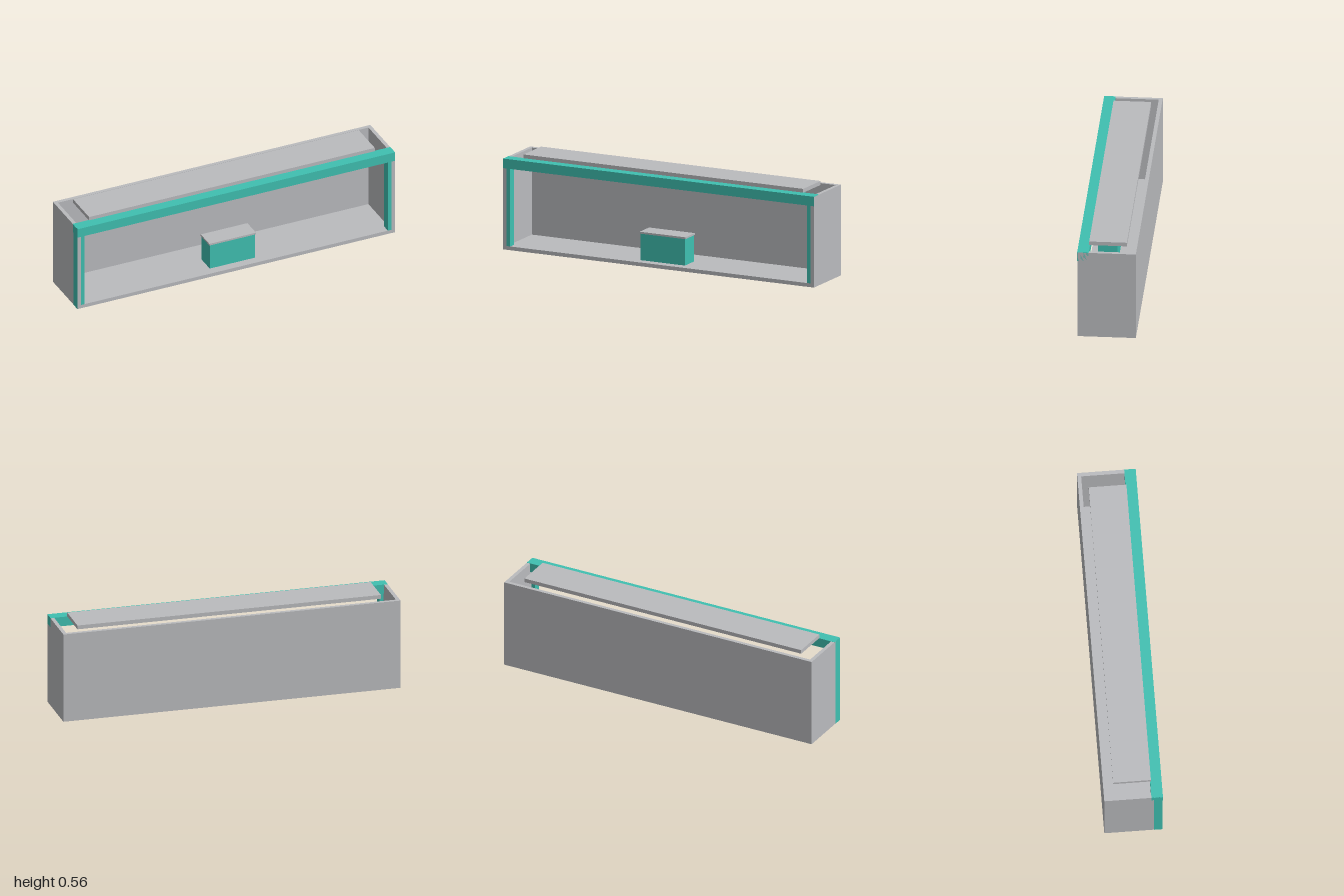
import * as THREE from 'three';

export function createModel() {
  const model = new THREE.Group();
  model.name = 'openCounter';

  const grey = new THREE.MeshStandardMaterial({ color: 0xbabbbe });
  grey.name = 'grey panel';
  const teal = new THREE.MeshStandardMaterial({ color: 0x3fc0b1 });
  teal.name = 'teal trim';

  // Adds a box spanning the given ranges on each axis
  const addBox = (name, material, [x0, x1], [y0, y1], [z0, z1]) => {
    const mesh = new THREE.Mesh(new THREE.BoxGeometry(x1 - x0, y1 - y0, z1 - z0), material);
    mesh.position.set((x0 + x1) / 2, (y0 + y1) / 2, (z0 + z1) / 2);
    mesh.name = name;
    model.add(mesh);
  };

  const W = 1, H = 0.533, D = 0.167; // half width, height, half depth
  const T = 0.022;                   // panel thickness

  // Shell, open at the front and top
  addBox('floor', grey, [-W + T, W - T], [0, T], [-D, D]);
  addBox('backWall', grey, [-W + T, W - T], [T, H], [-D, -D + T]);
  addBox('leftWall', grey, [W - T, W], [0, H], [-D, D]);
  addBox('rightWall', grey, [-W, -W + T], [0, H], [-D, D]);

  // Front frame: posts inside the walls and a beam across the top
  addBox('leftPost', teal, [0.955, W - T], [T, 0.478], [D - 0.05, D]);
  addBox('rightPost', teal, [-W + T, -0.955], [T, 0.478], [D - 0.05, D]);
  addBox('rightEndTrim', teal, [-W - 0.001, -W], [0, H], [D - 0.05, D]);
  addBox('frontBeam', teal, [-W, W], [0.478, H + 0.001], [0.103, D + 0.002]);

  // Raised top board
  addBox('topBoard', grey, [-0.9, 0.9], [H, 0.556], [-0.108, 0.108]);

  // Small stand with a lid on the floor
  addBox('stand', teal, [-0.143, 0.143], [T, 0.178], [0.005, 0.115]);
  addBox('standLid', grey, [-0.147, 0.147], [0.178, 0.189], [0.002, 0.118]);

  return model;
}
